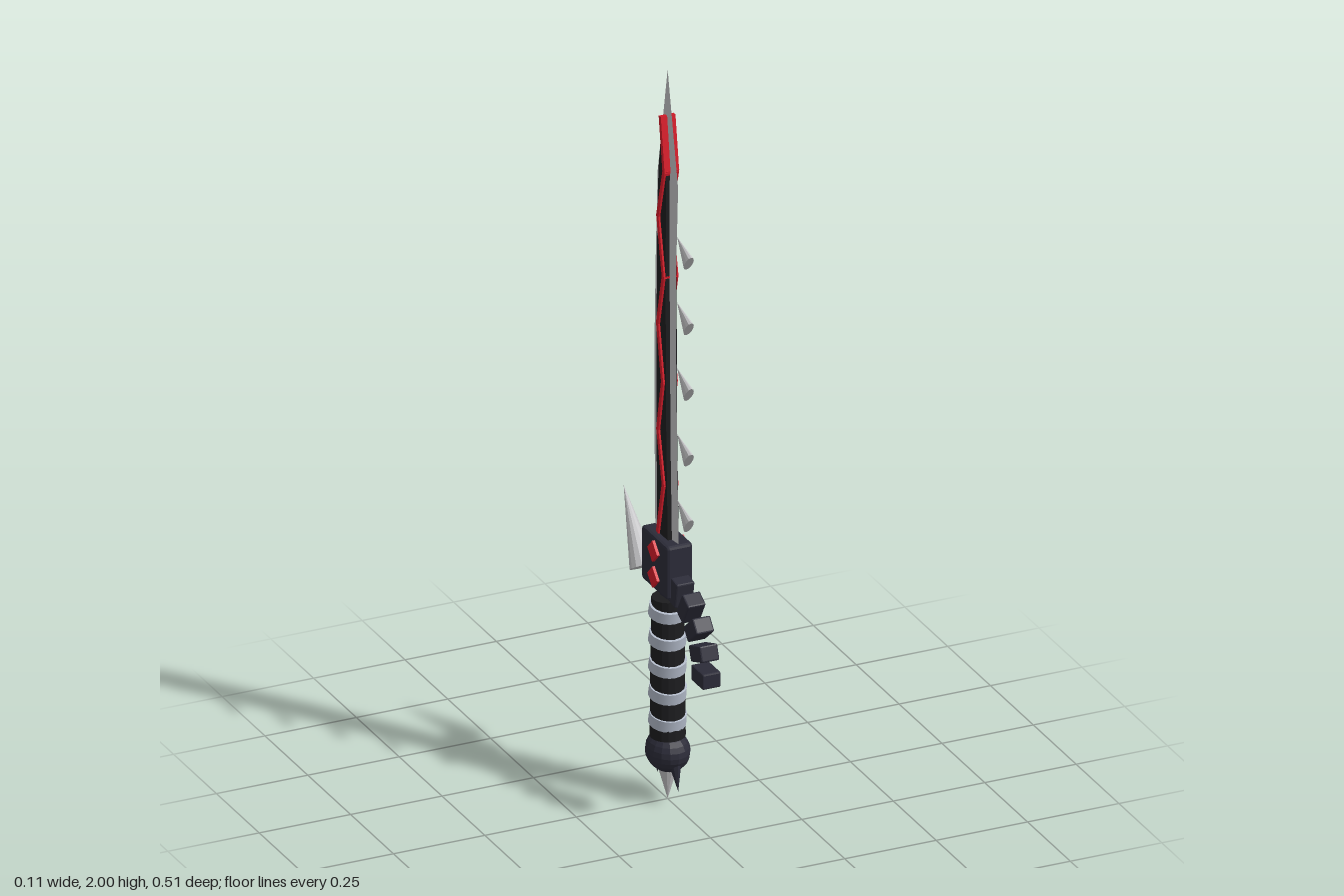
import * as THREE from 'three';
import { RoundedBoxGeometry } from 'three/addons/geometries/RoundedBoxGeometry.js';

const material = (name, color, flatShading = true) => {
  const m = new THREE.MeshStandardMaterial({ color, flatShading });
  m.name = name;
  return m;
};

export function createModel() {
  const steel = material('steel', 0xc4c4c6);
  const black = material('black', 0x1d1d1f);
  const iron = material('dark iron', 0x2c2c39);
  const red = material('red', 0xd91c2a);
  const wrap = material('silver wrap', 0xb4bccb, false);

  const model = new THREE.Group();
  model.name = 'sword';
  const add = (name, geometry, mat, x = 0, y = 0, z = 0) => {
    const mesh = new THREE.Mesh(geometry, mat);
    mesh.name = name;
    mesh.position.set(x, y, z);
    model.add(mesh);
    return mesh;
  };

  // Cone between two [z, y] points in the plane of the blade
  const spike = (name, mat, base, tip, radius, flatten = 1, sides = 12) => {
    const a = new THREE.Vector3(0, base[1], base[0]);
    const b = new THREE.Vector3(0, tip[1], tip[0]);
    const dir = b.clone().sub(a);
    const mesh = add(name, new THREE.ConeGeometry(radius, dir.length(), sides), mat);
    mesh.position.copy(a).add(b).multiplyScalar(0.5);
    mesh.quaternion.setFromUnitVectors(new THREE.Vector3(0, 1, 0), dir.normalize());
    mesh.scale.x = flatten;
    return mesh;
  };

  // Plate from a [z, y] outline, centred on x = 0
  const plate = (outline, thickness) => {
    const shape = new THREE.Shape(outline.map(([z, y]) => new THREE.Vector2(-z, y)));
    const g = new THREE.ExtrudeGeometry(shape, { depth: thickness, bevelEnabled: false });
    return g.translate(0, 0, -thickness / 2).rotateY(Math.PI / 2);
  };

  // Blade: thin diamond sections, each row is [y, front z, back z, half thickness]
  const rows = [
    [0.71, 0.065, -0.072, 0.008], [0.95, 0.056, -0.076, 0.008], [1.22, 0.05, -0.077, 0.008],
    [1.48, 0.05, -0.069, 0.008], [1.7, 0.061, -0.058, 0.007], [2, 0, 0, 0],
  ];
  const positions = [], index = [];
  rows.forEach(([y, f, b, t], i) => {
    const mid = (f + b) / 2;
    positions.push(0, y, f, t, y, mid, 0, y, b, -t, y, mid);
    if (i === 0) return;
    for (let k = 0; k < 4; k++) {
      const a = (i - 1) * 4 + k, c = (i - 1) * 4 + (k + 1) % 4;
      index.push(a, c, c + 4, a, c + 4, a + 4);
    }
  });
  index.push(0, 2, 1, 0, 3, 2);
  const blade = new THREE.BufferGeometry();
  blade.setAttribute('position', new THREE.Float32BufferAttribute(positions, 3));
  blade.setIndex(index);
  blade.computeVertexNormals();
  add('blade', blade, steel);

  // Dark core running up the blade
  add('bladeCore', plate([
    [0.033, 0.71], [-0.03, 0.71], [-0.034, 1.2], [-0.03, 1.5], [-0.022, 1.72],
    [0, 1.87], [0.022, 1.74], [0.02, 1.4], [0.024, 1.0],
  ], 0.03), black);

  // Red zigzag vein, standing slightly proud on both faces
  const vein = [
    [-0.003, 1.87], [0.018, 1.73], [-0.018, 1.595], [0.014, 1.44], [-0.019, 1.3],
    [0.01, 1.15], [-0.018, 1.01], [0.014, 0.87], [-0.019, 0.73],
  ];
  for (let i = 1; i < vein.length; i++) {
    const [z0, y0] = vein[i - 1], [z1, y1] = vein[i];
    const length = Math.hypot(z1 - z0, y1 - y0);
    const bar = add('vein', new THREE.BoxGeometry(0.04, length + 0.008, 0.013), red,
      0, (y0 + y1) / 2, (z0 + z1) / 2);
    bar.rotation.x = Math.atan2(z1 - z0, y1 - y0);
  }

  // Teeth along the front edge
  for (let i = 0; i < 5; i++) {
    const y = 0.845 + i * 0.18;
    spike('tooth', steel, [0.123, y - 0.045], [0.055, y], 0.027, 0.45);
  }

  // Guard with two red diamonds on each side
  add('guard', new RoundedBoxGeometry(0.072, 0.146, 0.152, 1, 0.008), iron, 0, 0.652, -0.003);
  for (const side of [-1, 1]) {
    for (const y of [0.688, 0.617]) {
      const gem = add('guardDiamond', new THREE.BoxGeometry(0.009, 0.041, 0.041), red,
        side * 0.039, y, 0.002);
      gem.rotation.x = Math.PI / 4;
    }
  }

  // Rear spike
  spike('rearSpike', steel, [-0.143, 0.575], [-0.257, 0.75], 0.035, 1, 14);

  // Curved finger guard made of separate blocks
  for (let i = 0; i < 6; i++) {
    const a = i * Math.PI / 9;
    const block = add('fingerGuardBlock', new RoundedBoxGeometry(0.05, 0.042, 0.07, 1, 0.004), iron,
      0, 0.433 + 0.173 * Math.sin(a), 0.05 + 0.173 * Math.cos(a));
    block.rotation.x = -a;
  }

  // Grip with slanted wrap bands
  add('grip', new THREE.CylinderGeometry(0.041, 0.045, 0.38, 16), black, 0, 0.365, 0);
  for (let i = 0; i < 5; i++) {
    const band = add('gripBand', new THREE.CylinderGeometry(0.047, 0.048, 0.03, 20), wrap,
      0, 0.225 + i * 0.074, 0);
    band.rotation.x = 0.2;
  }

  // Pommel with a steel point and two dark claws
  const pommel = add('pommel', new THREE.SphereGeometry(0.055, 16, 12), iron, 0, 0.135, 0);
  pommel.scale.z = 1.2;
  spike('pommelPoint', steel, [0, 0.085], [0, 0], 0.024);
  for (const side of [-1, 1]) {
    spike('pommelClaw', iron, [side * 0.042, 0.115], [side * 0.062, 0.046], 0.02, 0.8, 8);
  }

  return model;
}
